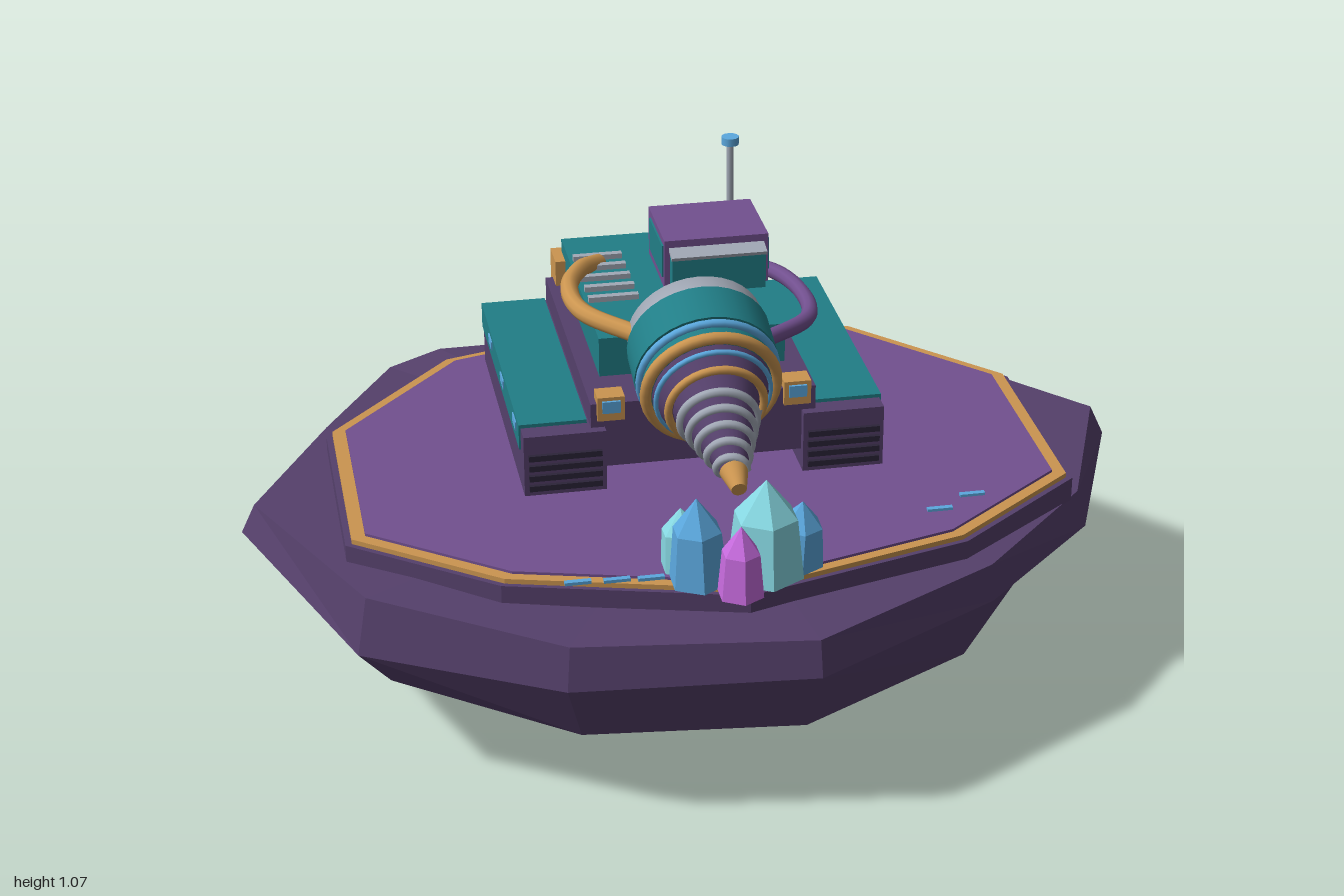
import * as THREE from 'three';

const mat = (name, color) => { const m = new THREE.MeshStandardMaterial({ color }); m.name = name; return m; };
const M = {
  rock: mat('dark purple rock', 0x55406b), purple: mat('purple paint', 0x72508f), teal: mat('teal paint', 0x217e87),
  gold: mat('gold trim', 0xcb9550), grey: mat('grey metal', 0xa2a9b6), dark: mat('dark grille', 0x2b2438),
  blue: mat('blue glow', 0x5ba8de), cyan: mat('cyan crystal', 0x87d8e2), magenta: mat('magenta crystal', 0xc76bde),
};

function add(parent, name, geo, material, x = 0, y = 0, z = 0) {
  const m = new THREE.Mesh(geo, material);
  m.name = name;
  m.position.set(x, y, z);
  parent.add(m);
  return m;
}

// Box given by its minimum and maximum on each axis
function box(parent, name, material, [x0, x1], [y0, y1], [z0, z1]) {
  return add(parent, name, new THREE.BoxGeometry(x1 - x0, y1 - y0, z1 - z0), material,
    (x0 + x1) / 2, (y0 + y1) / 2, (z0 + z1) / 2);
}

function flat(geo) {
  const g = geo.index ? geo.toNonIndexed() : geo;
  g.computeVertexNormals();
  return g;
}

// Floating rock: faceted rings that follow one irregular outline
function rockGeometry() {
  let seed = 11;
  const rnd = () => { seed = (seed * 16807) % 2147483647; return seed / 2147483647 - 0.5; };
  const outline = [[1, -0.15], [0.84, 0.23], [0.545, 0.52], [0.12, 0.76], [-0.39, 0.685], [-0.79, 0.43], [-1, -0.04],
    [-0.8, -0.36], [-0.625, -0.69], [-0.5, -0.74], [-0.06, -0.745], [0.375, -0.77], [0.48, -0.71], [0.78, -0.42]];
  // scale, height, scale jitter, height jitter
  const rings = [[0.98, 0.44, 0.03, 0.025], [1, 0.35, 0, 0.07], [0.88, 0.195, 0.08, 0.06],
    [0.64, 0.095, 0.1, 0.03], [0.13, 0.02, 0.06, 0.03]].map(([s, y, js, jy]) => outline.map(([x, z]) => {
    const k = s + js * rnd();
    return [x * k, y + jy * rnd(), z * k];
  }));
  rings[4][3][1] = 0;
  const pos = [], n = outline.length;
  const tri = (a, b, c) => pos.push(...a, ...b, ...c);
  for (let i = 0; i < n; i++) {
    const j = (i + 1) % n;
    tri([0, 0.46, 0], rings[0][j], rings[0][i]);
    for (let r = 0; r < 4; r++) {
      const a = rings[r], b = rings[r + 1];
      tri(a[i], a[j], b[i]);
      tri(a[j], b[j], b[i]);
    }
    tri([0, 0.045, 0], rings[4][i], rings[4][j]);
  }
  const g = new THREE.BufferGeometry();
  g.setAttribute('position', new THREE.Float32BufferAttribute(pos, 3));
  return flat(g);
}

// Ten-sided deck slab, optionally hollow
function slab(scale, depth, hole) {
  const half = [[0, -0.685], [0.48, -0.555], [0.77, -0.24], [0.77, 0.25], [0.48, 0.47], [0, 0.6]];
  const pts = [...half, ...half.slice(1, 5).reverse().map(([x, z]) => [-x, z])];
  const ring = k => pts.map(([x, z]) => new THREE.Vector2(x * k, z * k));
  const shape = new THREE.Shape(ring(scale));
  if (hole) shape.holes.push(new THREE.Path(ring(hole)));
  return new THREE.ExtrudeGeometry(shape, { depth, bevelEnabled: false }).rotateX(Math.PI / 2);
}

function hose(parent, name, material, radius, pts) {
  const curve = new THREE.CatmullRomCurve3(pts.map(p => new THREE.Vector3(...p)));
  add(parent, name, new THREE.TubeGeometry(curve, 32, radius, 10), material);
}

function makeDrill() {
  const g = new THREE.Group();
  g.name = 'drill';
  // Rounded rear cap
  const cap = [[0, -0.018], [0.06, -0.014], [0.11, -0.004], [0.148, 0.01], [0.152, 0.055]];
  add(g, 'drumCap', new THREE.LatheGeometry(cap.map(p => new THREE.Vector2(...p)), 36), M.grey);
  // Motor drum and stepped collars: name, material, start, end, rear radius, front radius
  [['drum', M.teal, 0.052, 0.15, 0.156, 0.156], ['frontDrum', M.teal, 0.15, 0.205, 0.145, 0.138],
    ['collar', M.rock, 0.205, 0.255, 0.128, 0.105], ['drillCone', M.rock, 0.255, 0.46, 0.092, 0.024],
    ['drillTip', M.gold, 0.45, 0.505, 0.03, 0.016],
  ].forEach(([name, m, t0, t1, r0, r1]) =>
    add(g, name, new THREE.CylinderGeometry(r1, r0, t1 - t0, 32), m, 0, (t0 + t1) / 2, 0));
  [['blueRing', M.blue, 0.16, 0.147, 0.009], ['goldRing', M.gold, 0.198, 0.14, 0.013],
    ['blueInnerRing', M.blue, 0.222, 0.122, 0.006], ['goldInnerRing', M.gold, 0.255, 0.102, 0.009],
  ].forEach(([name, m, t, r, tube]) =>
    add(g, name, new THREE.TorusGeometry(r, tube, 10, 36).rotateX(Math.PI / 2), m, 0, t, 0));
  // Screw thread winding down the cone
  const pts = [];
  for (let i = 0; i <= 80; i++) {
    const u = i / 80, a = u * Math.PI * 10, r = 0.088 - 0.062 * u;
    pts.push([Math.cos(a) * r, 0.27 + 0.18 * u, Math.sin(a) * r]);
  }
  const curve = new THREE.CatmullRomCurve3(pts.map(p => new THREE.Vector3(...p)));
  add(g, 'screwThread', new THREE.TubeGeometry(curve, 200, 0.01, 8), M.grey);
  g.position.set(-0.007, 0.82, 0.04);
  g.rotation.x = 1.855;
  return g;
}

// Tapered prism with a pointed tip
function crystal(parent, material, x, z, r, h, leanX, leanZ) {
  const g = new THREE.Group();
  g.name = 'crystal';
  add(g, 'crystalShaft', flat(new THREE.CylinderGeometry(r * 0.82, r, h * 0.62, 6)), material, 0, h * 0.31, 0);
  add(g, 'crystalPoint', flat(new THREE.ConeGeometry(r * 0.82, h * 0.38, 6, 1, true)), material, 0, h * 0.81, 0);
  g.position.set(x, 0.5, z);
  g.rotation.set(leanZ, 0, leanX);
  parent.add(g);
}

export function createModel() {
  const root = new THREE.Group();
  root.name = 'drillRigOnRock';

  // Rock and deck
  add(root, 'rock', rockGeometry(), M.rock);
  add(root, 'deckBase', slab(1.03, 0.055), M.rock, 0, 0.482, 0);
  add(root, 'deckTrim', slab(1.012, 0.012, 0.97), M.gold, 0, 0.493, 0);
  add(root, 'deckTop', slab(0.974, 0.03), M.purple, 0, 0.499, 0);
  [[-0.37, 0.525], [-0.29, 0.53], [-0.22, 0.535], [0.435, 0.365], [0.52, 0.315]].forEach(([x, z]) =>
    box(root, 'deckLight', M.blue, [x, x + 0.055], [0.498, 0.505], [z, z + 0.012]));

  // Vehicle
  const v = new THREE.Group();
  v.name = 'vehicle';
  v.position.x = -0.008;
  root.add(v);
  box(v, 'chassis', M.rock, [-0.245, 0.245], [0.56, 0.71], [-0.505, 0.155]);
  box(v, 'body', M.teal, [-0.205, 0.205], [0.66, 0.8], [-0.515, 0.025]);
  for (const s of [-1, 1]) {
    const side = (name, m, a, b, ys, zs) => box(v, name, m, s > 0 ? [a, b] : [-b, -a], ys, zs);
    side('track', M.rock, 0.215, 0.393, [0.515, 0.655], [-0.5, 0.175]);
    side('trackCover', M.teal, 0.25, 0.397, [0.605, 0.663], [-0.495, 0.13]);
    for (const z of [0.07, -0.13, -0.33])
      side('sideLight', M.blue, 0.395, 0.4, [0.632, 0.652], [z - 0.025, z + 0.025]);
    for (let i = 0; i < 4; i++) {
      const y = 0.528 + i * 0.024;
      side('frontGrilleBar', M.dark, 0.225, 0.383, [y, y + 0.013], [0.172, 0.184]);
      side('rearGrilleBar', M.dark, 0.225, 0.383, [y, y + 0.013], [-0.508, -0.498]);
    }
    for (let i = 0; i < 5; i++)
      add(v, 'wheel', new THREE.CylinderGeometry(0.03, 0.03, 0.16, 16).rotateZ(Math.PI / 2), M.dark,
        s * 0.304, 0.535, 0.105 - i * 0.135);
    side('rearBracket', M.gold, 0.17, 0.228, [0.655, 0.77], [-0.535, -0.455]);
    side('frontBracket', M.gold, 0.173, 0.232, [0.675, 0.73], [0.12, 0.168]);
    side('headlight', M.blue, 0.183, 0.222, [0.695, 0.722], [0.166, 0.174]);
  }
  for (let i = 0; i < 5; i++) {
    const z = -0.39 + i * 0.056;
    box(v, 'ventSlat', M.grey, [-0.197, -0.085], [0.798, 0.812], [z - 0.008, z + 0.008]);
  }

  // Cabin with windows, visor and antenna
  box(v, 'cabin', M.purple, [-0.02, 0.215], [0.8, 0.915], [-0.4, -0.2]);
  box(v, 'windshield', M.teal, [-0.008, 0.203], [0.8, 0.888], [-0.2, -0.168]);
  const visor = box(v, 'visor', M.grey, [-0.01, 0.205], [0.886, 0.894], [-0.205, -0.163]);
  visor.rotation.x = 0.25;
  box(v, 'leftWindow', M.teal, [0.213, 0.219], [0.825, 0.9], [-0.37, -0.21]);
  box(v, 'rightWindow', M.teal, [-0.024, -0.018], [0.825, 0.9], [-0.37, -0.21]);
  add(v, 'antennaMast', new THREE.CylinderGeometry(0.008, 0.008, 0.17, 10), M.grey, 0.17, 0.97, -0.41);
  add(v, 'antennaLight', new THREE.CylinderGeometry(0.02, 0.02, 0.018, 12), M.blue, 0.17, 1.058, -0.41);

  // Drill and its supply hoses
  root.add(makeDrill());
  hose(root, 'goldHose', M.gold, 0.02,
    [[-0.15, 0.8, -0.37], [-0.2, 0.82, -0.3], [-0.245, 0.832, -0.18], [-0.235, 0.835, -0.04], [-0.13, 0.83, 0.09]]);
  hose(root, 'purpleHose', M.purple, 0.018,
    [[0.18, 0.75, -0.42], [0.25, 0.755, -0.35], [0.285, 0.762, -0.22], [0.265, 0.775, -0.05], [0.13, 0.8, 0.1]]);

  // Crystal cluster
  crystal(root, M.cyan, 0.042, 0.56, 0.083, 0.215, 0, 0);
  crystal(root, M.blue, -0.098, 0.565, 0.064, 0.19, 0.03, 0);
  crystal(root, M.magenta, -0.025, 0.635, 0.05, 0.155, 0, 0);
  crystal(root, M.cyan, -0.112, 0.5, 0.056, 0.13, 0.08, -0.08);
  crystal(root, M.blue, 0.115, 0.525, 0.058, 0.145, -0.06, 0.08);
  return root;
}
